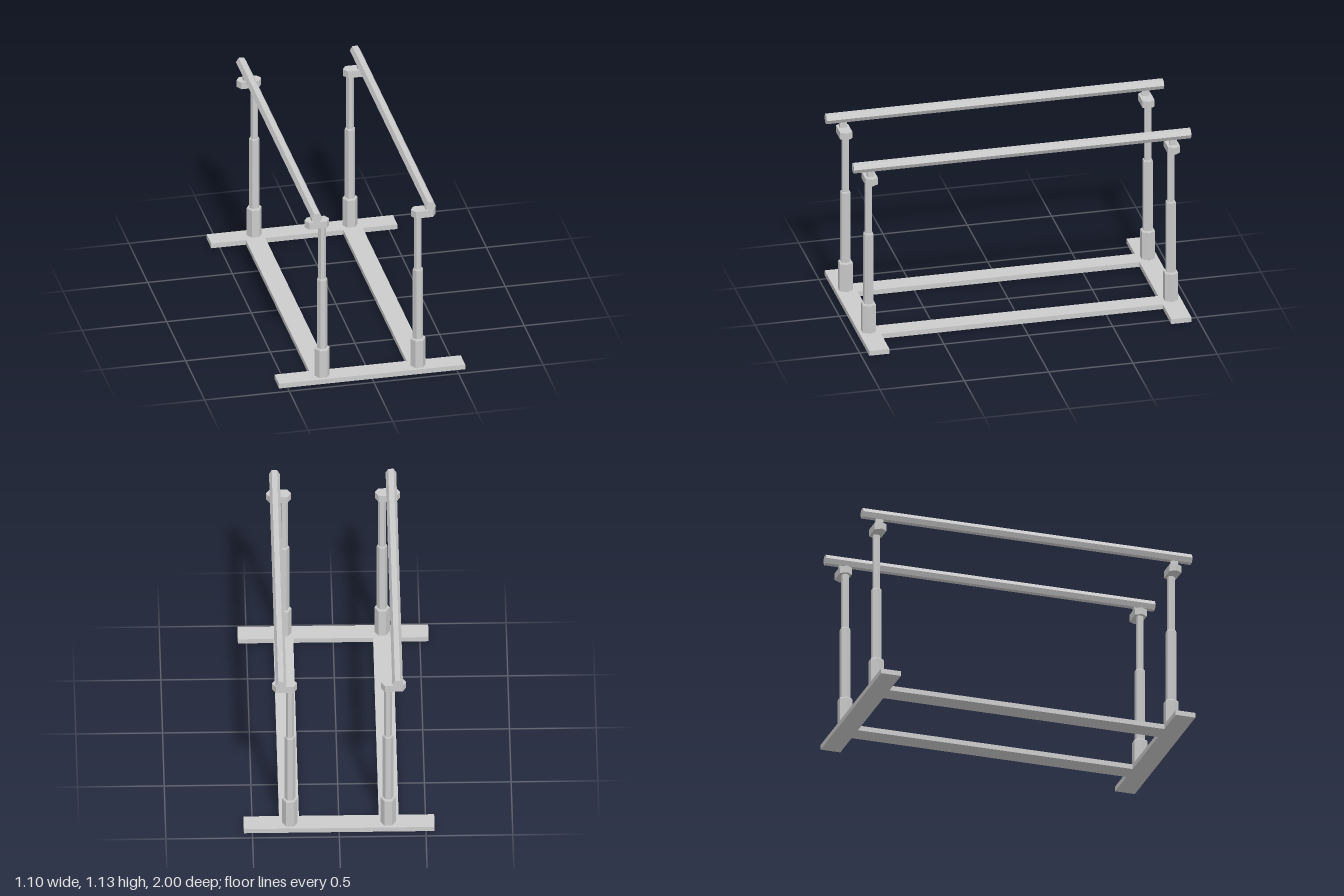
import * as THREE from 'three';

const material = new THREE.MeshStandardMaterial({ color: 0xcccccc, flatShading: true });

function part(name, geometry, x = 0, y = 0, z = 0) {
  const mesh = new THREE.Mesh(geometry, material);
  mesh.name = name;
  mesh.position.set(x, y, z);
  return mesh;
}

// Flat polygon in plan (x, z), extruded upwards from y = 0
function slab(outline, height, hole) {
  const shape = new THREE.Shape(outline.map(([x, z]) => new THREE.Vector2(x, z)));
  if (hole) shape.holes.push(new THREE.Path(hole.map(([x, z]) => new THREE.Vector2(x, z))));
  const geometry = new THREE.ExtrudeGeometry(shape, { depth: height, bevelEnabled: false });
  return geometry.rotateX(-Math.PI / 2);
}

export function createModel() {
  const model = new THREE.Group();
  model.name = 'parallelBars';

  // Floor frame: two long rails joined by two wider cross feet
  const foot = 0.55, outer = 0.345, inner = 0.23, end = 0.955, gap = 0.835;
  const frame = slab([
    [-foot, -end], [foot, -end], [foot, -gap], [outer, -gap],
    [outer, gap], [foot, gap], [foot, end], [-foot, end],
    [-foot, gap], [-outer, gap], [-outer, -gap], [-foot, -gap],
  ], 0.03, [[-inner, -gap], [-inner, gap], [inner, gap], [inner, -gap]]);
  model.add(part('floorFrame', frame));

  // Telescopic hexagonal post with chamfered sleeve tops
  const post = new THREE.LatheGeometry([
    [0.045, 0.03], [0.045, 0.203], [0.041, 0.21], [0.031, 0.21],
    [0.031, 0.652], [0.028, 0.659], [0.0225, 0.659], [0.0225, 1.0],
  ].map(([r, y]) => new THREE.Vector2(r, y)), 6, Math.PI / 2);

  // Elongated hexagonal bracket
  const bracket = slab([
    [-0.073, 0], [-0.051, -0.036], [0.051, -0.036],
    [0.073, 0], [0.051, 0.036], [-0.051, 0.036],
  ], 0.043);

  const stem = new THREE.BoxGeometry(0.022, 0.045, 0.043);

  // Hexagonal hand bar running front to back, with corners at its sides
  const bar = new THREE.CylinderGeometry(0.031, 0.031, 2, 6)
    .rotateY(Math.PI / 2).rotateX(Math.PI / 2);

  for (const side of [-1, 1]) {
    const label = side > 0 ? 'left' : 'right';
    model.add(part(label + 'HandBar', bar, side * 0.336, 1.105, 0));
    for (const dir of [-1, 1]) {
      const support = new THREE.Group();
      support.name = label + (dir > 0 ? 'Front' : 'Back') + 'Support';
      support.position.z = dir * 0.896;
      support.add(
        part('post', post, side * 0.283),
        part('bracket', bracket, side * 0.314, 1.0),
        part('stem', stem, side * 0.337, 1.0635),
      );
      model.add(support);
    }
  }
  return model;
}
